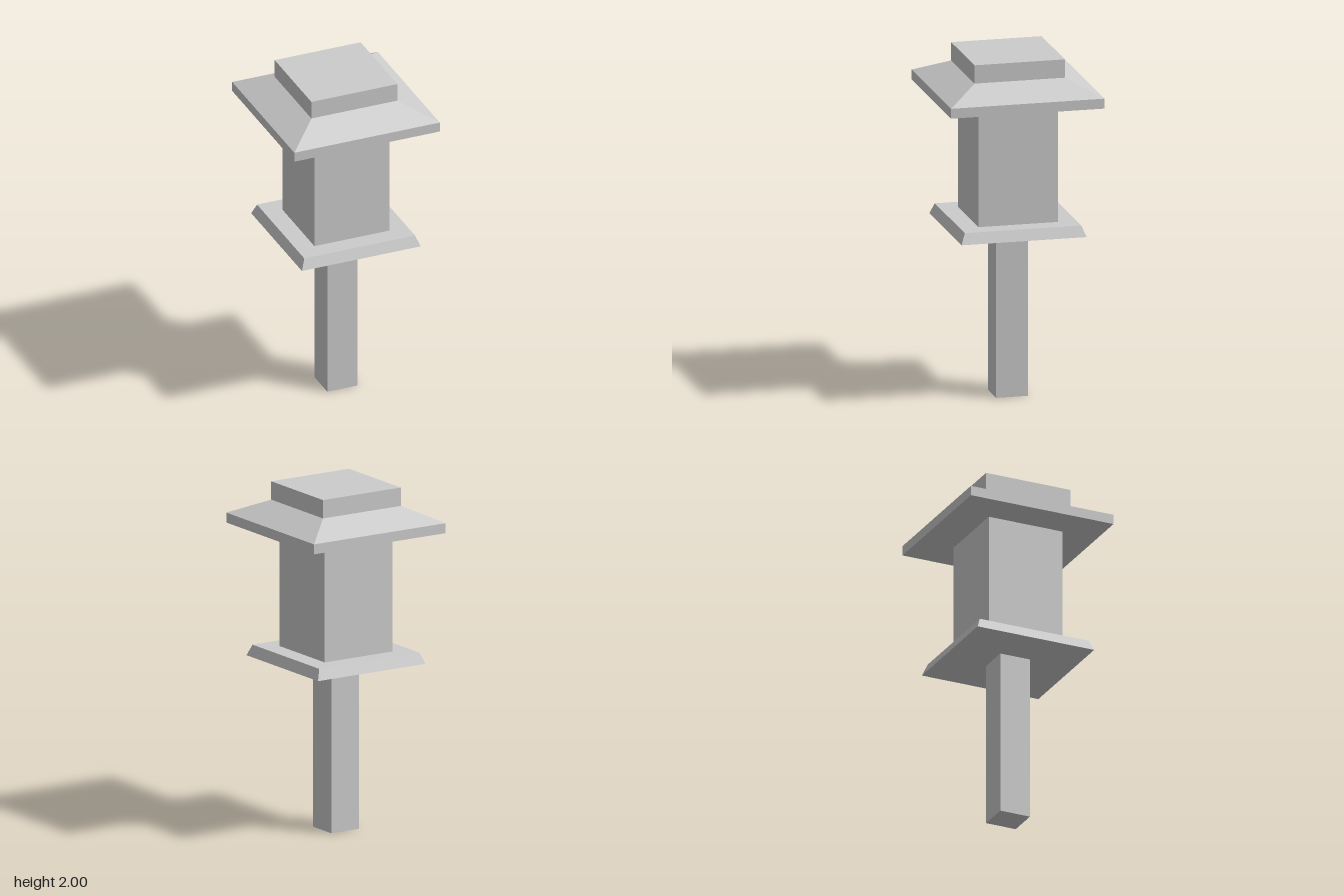
import * as THREE from 'three';

const material = new THREE.MeshStandardMaterial({ color: 0xcccccc, flatShading: true });

// Square block from y0 to y1 that tapers between two half-widths
function squareBlock(name, y0, y1, bottomHalf, topHalf = bottomHalf) {
  const geometry = new THREE.CylinderGeometry(topHalf * Math.SQRT2, bottomHalf * Math.SQRT2, y1 - y0, 4);
  geometry.rotateY(Math.PI / 4);
  const mesh = new THREE.Mesh(geometry, material);
  mesh.name = name;
  mesh.position.y = (y0 + y1) / 2;
  return mesh;
}

export function createModel() {
  const model = new THREE.Group();
  model.name = 'postLantern';

  // Post and the lamp housing on its bevelled tray
  model.add(
    squareBlock('post', 0, 0.98, 0.093),
    squareBlock('tray', 0.98, 1.043, 0.365, 0.34),
    squareBlock('housing', 1.043, 1.747, 0.231)
  );

  // Hipped roof: eave, slope and cap
  const roof = new THREE.Group();
  roof.name = 'roof';
  roof.add(
    squareBlock('eave', 1.747, 1.805, 0.447),
    squareBlock('roofSlope', 1.805, 1.893, 0.447, 0.264),
    squareBlock('roofCap', 1.893, 2, 0.264)
  );
  model.add(roof);
  return model;
}
